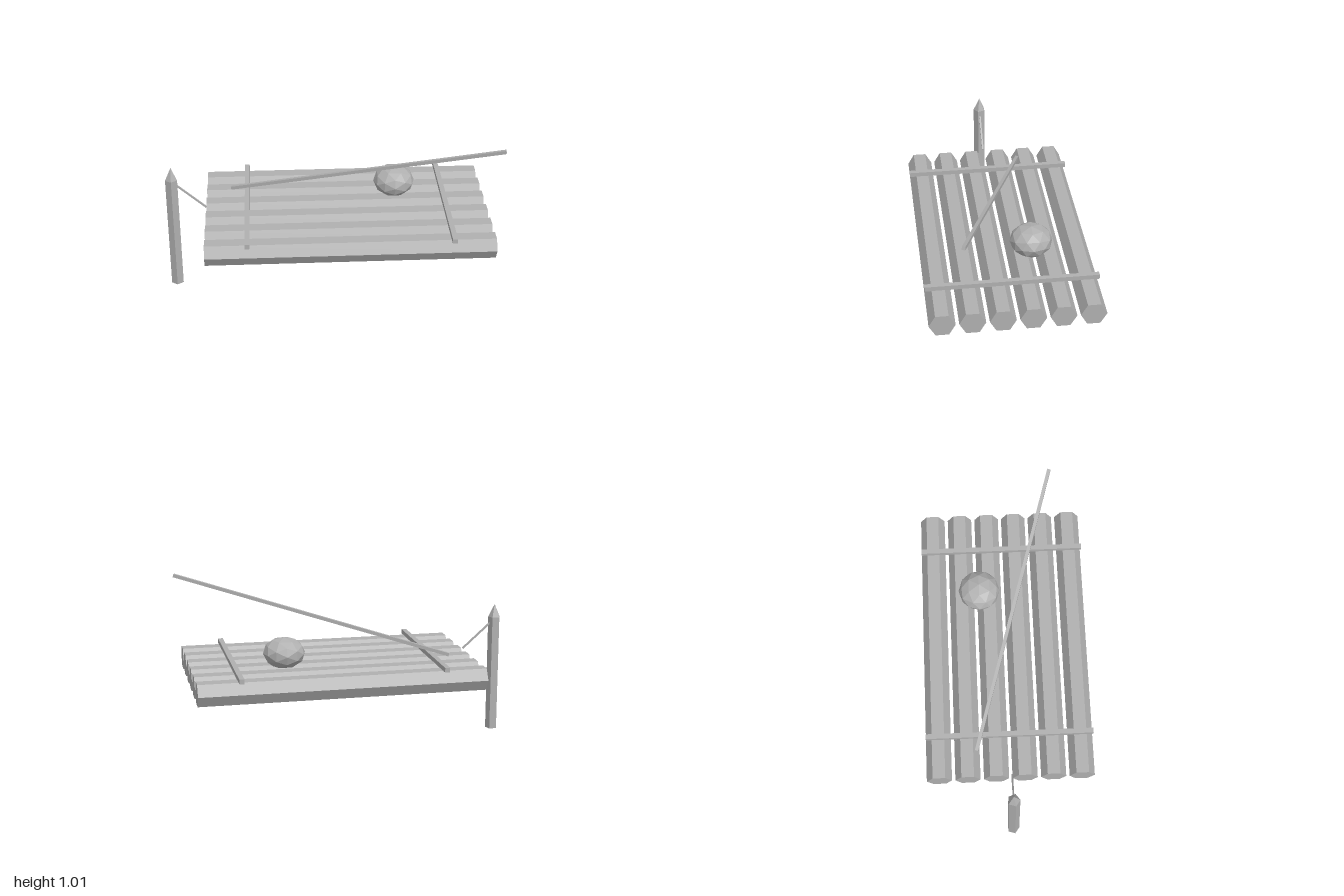
import * as THREE from 'three';

export function createModel() {
  const model = new THREE.Group();
  const grey = new THREE.MeshStandardMaterial({ color: 0xb0b0b0, flatShading: true });
  grey.name = 'plainGrey';

  function add(name, geometry, x, y, z, parent = model) {
    const mesh = new THREE.Mesh(geometry, grey);
    mesh.name = name;
    mesh.position.set(x, y, z);
    parent.add(mesh);
    return mesh;
  }

  // square bar running between two points
  function addBar(name, from, to, thickness) {
    const a = new THREE.Vector3(...from);
    const b = new THREE.Vector3(...to);
    const mid = a.clone().add(b).multiplyScalar(0.5);
    const geometry = new THREE.BoxGeometry(thickness, thickness, a.distanceTo(b));
    add(name, geometry, mid.x, mid.y, mid.z).lookAt(b);
  }

  // deck of six hexagonal logs, flat side up
  const deck = new THREE.Group();
  deck.name = 'deck';
  model.add(deck);
  const logGeometry = new THREE.CylinderGeometry(0.075, 0.075, 1.705, 6).rotateZ(Math.PI / 2);
  for (let i = 0; i < 6; i++) {
    add('log', logGeometry, 0.0875, 0.455, -0.428 + i * 0.17, deck);
  }

  // two battens across the logs
  for (const x of [-0.515, 0.69]) {
    add('crossBar', new THREE.BoxGeometry(0.03, 0.028, 1), x, 0.533, 0);
  }

  // five-sided mooring post with a pointed top
  const post = new THREE.Group();
  post.name = 'mooringPost';
  post.position.set(-0.964, 0, 0.004);
  model.add(post);
  add('postShaft', new THREE.CylinderGeometry(0.038, 0.038, 0.72, 5), 0, 0.36, 0, post);
  add('postTip', new THREE.ConeGeometry(0.038, 0.08, 5), 0, 0.76, 0, post);

  // rope from the post to the deck
  addBar('mooringRope', [-0.94, 0.685, 0.004], [-0.762, 0.527, 0.004], 0.01);

  // long pole leaning over the deck
  addBar('pole', [-0.612, 0.546, -0.2], [0.99, 1.004, 0.3], 0.02);

  // squashed faceted bundle resting on the logs
  const bundle = add('bundle', new THREE.IcosahedronGeometry(0.126, 1), 0.39, 0.6, -0.149);
  bundle.scale.set(1, 0.75, 1);

  return model;
}
